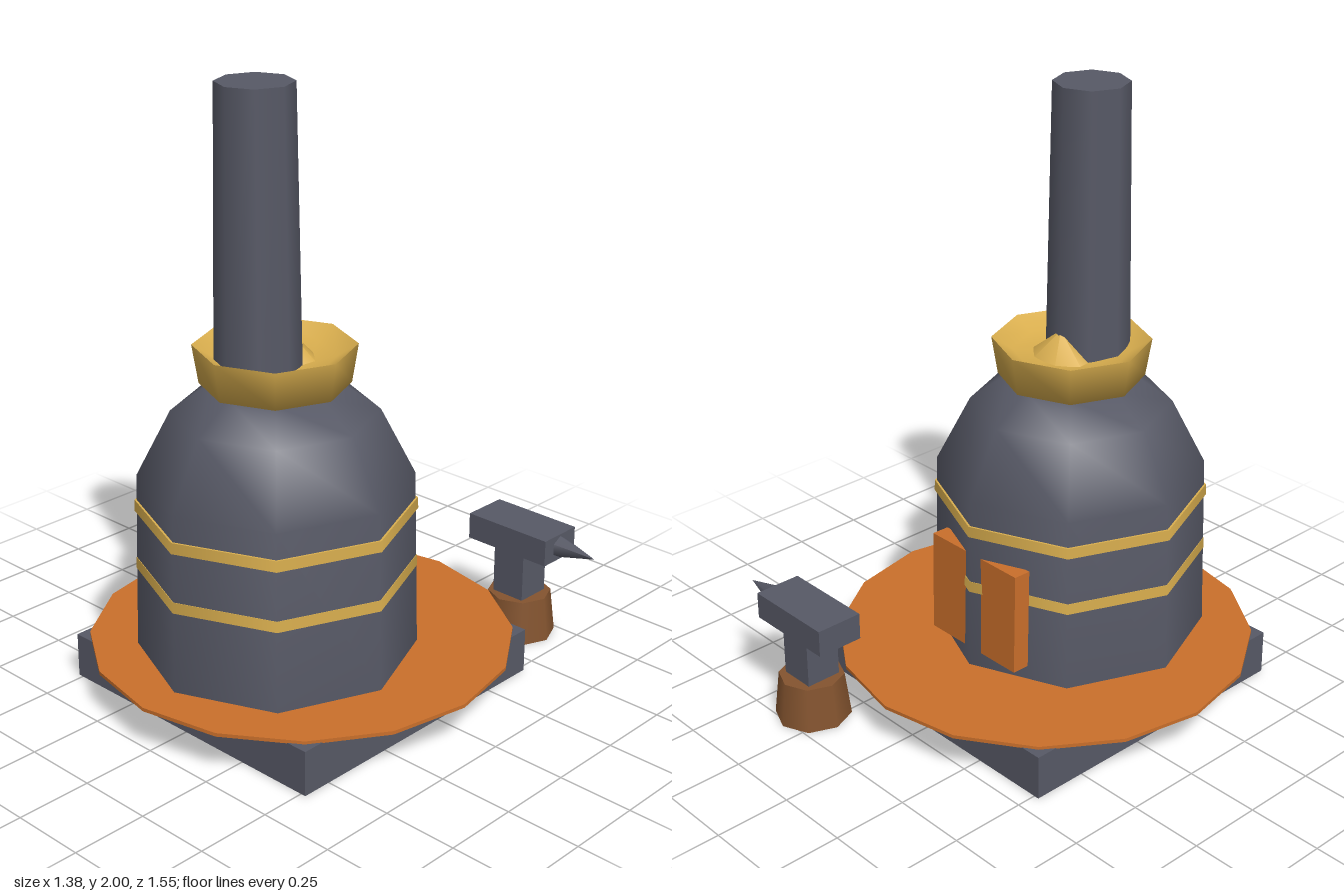
import * as THREE from 'three';

const mat = (name, color) => {
  const m = new THREE.MeshStandardMaterial({ color });
  m.name = name;
  return m;
};

export function createModel() {
  const root = new THREE.Group();
  root.name = 'forgeFurnace';
  const iron = mat('darkIron', 0x575966);
  const gold = mat('brass', 0xd9ae4e);
  const orange = mat('glowingOrange', 0xc96f2b);
  const wood = mat('wood', 0x84542f);

  const add = (name, geometry, material, x, y, z, parent = root) => {
    const mesh = new THREE.Mesh(geometry, material);
    mesh.name = name;
    mesh.position.set(x, y, z);
    parent.add(mesh);
    return mesh;
  };
  const lathe = (points) =>
    new THREE.LatheGeometry(points.map(([r, y]) => new THREE.Vector2(r, y)), 8);

  // Square plinth with a thin round tray on top
  add('base', new THREE.BoxGeometry(1.035, 0.15, 1.035), iron, 0, 0.075, 0.083);
  add('tray', new THREE.CylinderGeometry(0.69, 0.69, 0.012, 16), orange, 0, 0.154, 0.083);

  // Eight-sided domed furnace
  const cz = 0.195;
  add('furnaceBody', lathe([[0.45, 0.155], [0.435, 0.75], [0.325, 0.965], [0.2, 1.055], [0, 1.07]]),
    iron, 0, 0, cz);

  // Bands round the body
  for (const y of [0.448, 0.647]) {
    add('band', new THREE.CylinderGeometry(0.444, 0.446, 0.036, 8), gold, 0, y, cz);
  }

  // Collar: flared wall with a shallow dished top, and a lump beside the chimney
  add('collarWall', lathe([[0, 1.055], [0.235, 1.055], [0.255, 1.18]]), gold, 0, 0, cz);
  add('collarDish', lathe([[0.255, 1.18], [0.19, 1.14], [0.1, 1.13], [0, 1.13]]), gold, 0, 0, cz);
  const lump = add('collarLump', new THREE.ConeGeometry(0.09, 0.1, 7), gold, 0, 1.17, 0.147);
  lump.scale.x = 1.4;

  // Tapered chimney
  add('chimney', new THREE.CylinderGeometry(0.12, 0.136, 0.94, 8), iron, 0, 1.53, 0.268);

  // Firebox door, partly sunk in the back corner of the body
  const door = add('fireboxDoor', new THREE.BoxGeometry(0.39, 0.345, 0.06), orange, 0, 0.383, -0.204);
  door.rotation.x = 0.02;

  // Anvil on a stump
  const anvil = new THREE.Group();
  anvil.name = 'anvil';
  anvil.position.set(0.322, 0, -0.65);
  root.add(anvil);
  add('stump', new THREE.CylinderGeometry(0.107, 0.125, 0.15, 8), wood, 0, 0.075, 0, anvil);
  add('anvilNeck', new THREE.BoxGeometry(0.122, 0.18, 0.122), iron, 0, 0.235, 0.003, anvil);
  add('anvilBlock', new THREE.BoxGeometry(0.322, 0.09, 0.16), iron, 0, 0.364, 0, anvil);
  const horn = add('anvilHorn', new THREE.ConeGeometry(0.043, 0.16, 6), iron, 0.223, 0.364, 0, anvil);
  horn.rotation.set(0, 0, -Math.PI / 2);
  horn.geometry.rotateY(Math.PI / 6);

  return root;
}
